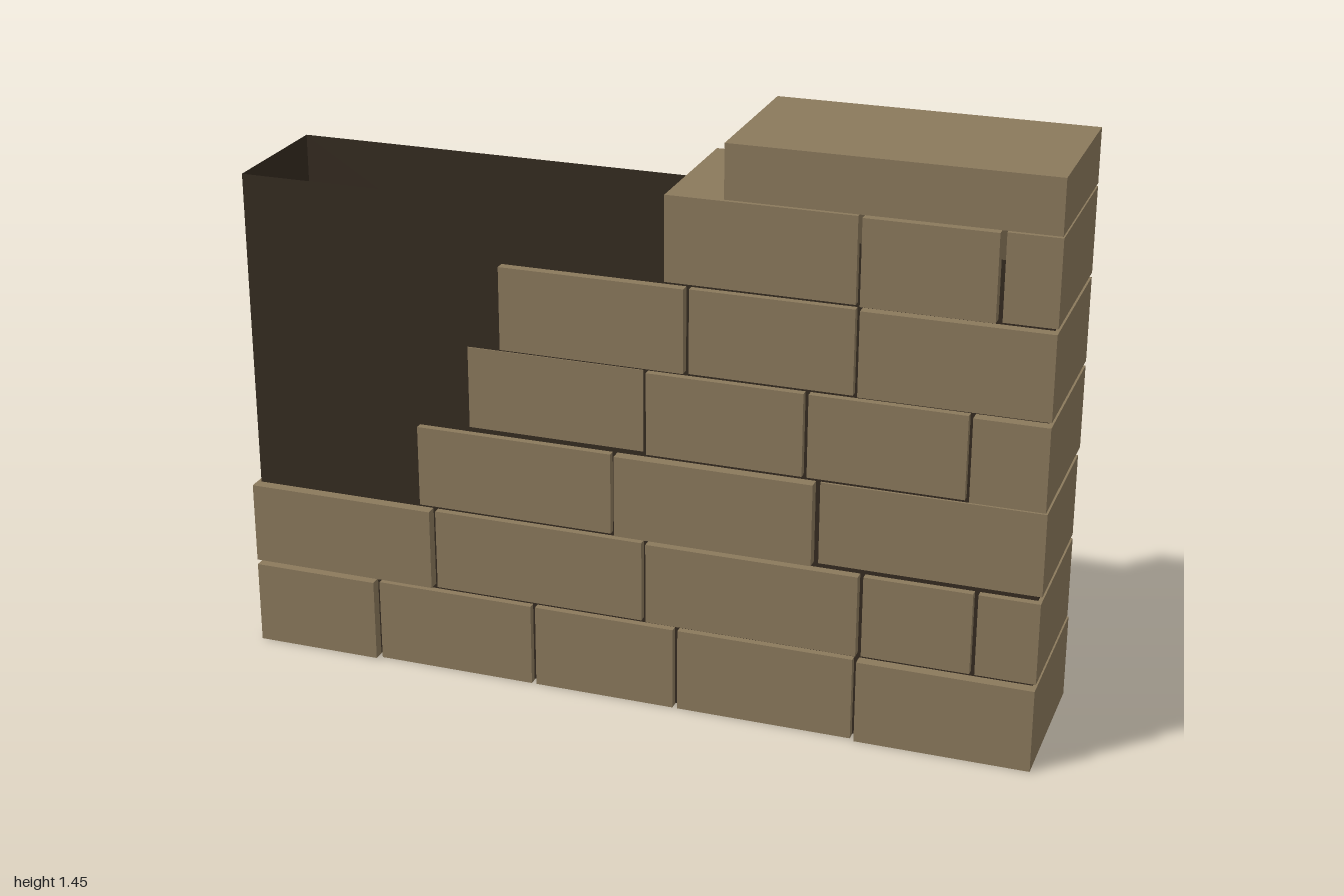
import * as THREE from 'three';

const stone = new THREE.MeshStandardMaterial({ color: 0x8b795c, side: THREE.DoubleSide });
stone.name = 'tan stone';
const mortar = new THREE.MeshStandardMaterial({ color: 0x342b20, side: THREE.DoubleSide });
mortar.name = 'dark mortar';

// Each course: bottom, top, and its bricks as [left x, right x, back z, front z]
const courses = [
  { y0: 0, y1: 0.212, open: true, bricks: [
    [-1, -0.677, -0.19, 0.2], [-0.665, -0.257, -0.2, 0.19], [-0.245, 0.113, -0.19, 0.19],
    [0.125, 0.562, -0.195, 0.19], [0.574, 1, -0.2, 0.2]] },
  { y0: 0.225, y1: 0.432, bricks: [
    [-1, -0.517, -0.182, 0.2], [-0.505, 0.033, -0.182, 0.19], [0.045, 0.57, -0.182, 0.195],
    [0.582, 0.843, -0.18, 0.19], [0.855, 1, -0.182, 0.19]] },
  { y0: 0.445, y1: 0.652, bricks: [
    [-0.545, -0.045, -0.2, 0.19], [-0.033, 0.457, -0.185, 0.2], [0.469, 1, -0.178, 0.178]] },
  { y0: 0.665, y1: 0.872, bricks: [
    [-0.412, 0.033, -0.19, 0.175], [0.045, 0.427, -0.2, 0.19],
    [0.439, 0.812, -0.195, 0.19], [0.824, 1, -0.198, 0.2]] },
  { y0: 0.884, y1: 1.092, bricks: [
    [-0.32, 0.138, -0.195, 0.195], [0.15, 0.543, -0.19, 0.19], [0.555, 1, -0.2, 0.197]] },
  { y0: 1.103, y1: 1.312, bricks: [
    [0.09, 0.543, -0.19, 0.19], [0.555, 0.863, -0.182, 0.2], [0.876, 1, -0.2, 0.19]] },
  { y0: 1.319, y1: 1.451, bricks: [[0.235, 1, -0.2, 0.2]] },
];

// Box between two corners; faces listed in skip (0..5 = +x -x +y -y +z -z) are left out
function block(name, material, x0, x1, y0, y1, z0, z1, skip = []) {
  const geometry = new THREE.BoxGeometry(x1 - x0, y1 - y0, z1 - z0);
  const index = Array.from(geometry.index.array);
  geometry.setIndex(index.filter((_, i) => !skip.includes(Math.floor(i / 6))));
  geometry.clearGroups();
  const mesh = new THREE.Mesh(geometry, material);
  mesh.name = name;
  mesh.position.set((x0 + x1) / 2, (y0 + y1) / 2, (z0 + z1) / 2);
  return mesh;
}

export function createModel() {
  const wall = new THREE.Group();
  wall.name = 'ruinedBrickWall';

  // Brick courses, stepping up to the right; the lowest is open underneath
  courses.forEach(({ y0, y1, open, bricks }, row) => {
    const course = new THREE.Group();
    course.name = `course${row + 1}`;
    bricks.forEach(([x0, x1, z0, z1], i) => {
      course.add(block(`brick${i + 1}`, stone, x0, x1, y0, y1, z0, z1, open ? [3] : []));
    });
    wall.add(course);
  });

  // Hollow mortar core, open at top and bottom
  wall.add(block('mortarCore', mortar, -0.99, 0.99, 0.004, 1.242, -0.172, 0.172, [2, 3]));

  // Loose fragment lying inside the core
  wall.add(block('looseFragment', stone, -0.82, -0.65, 0.432, 0.5, -0.147, -0.06));

  return wall;
}
